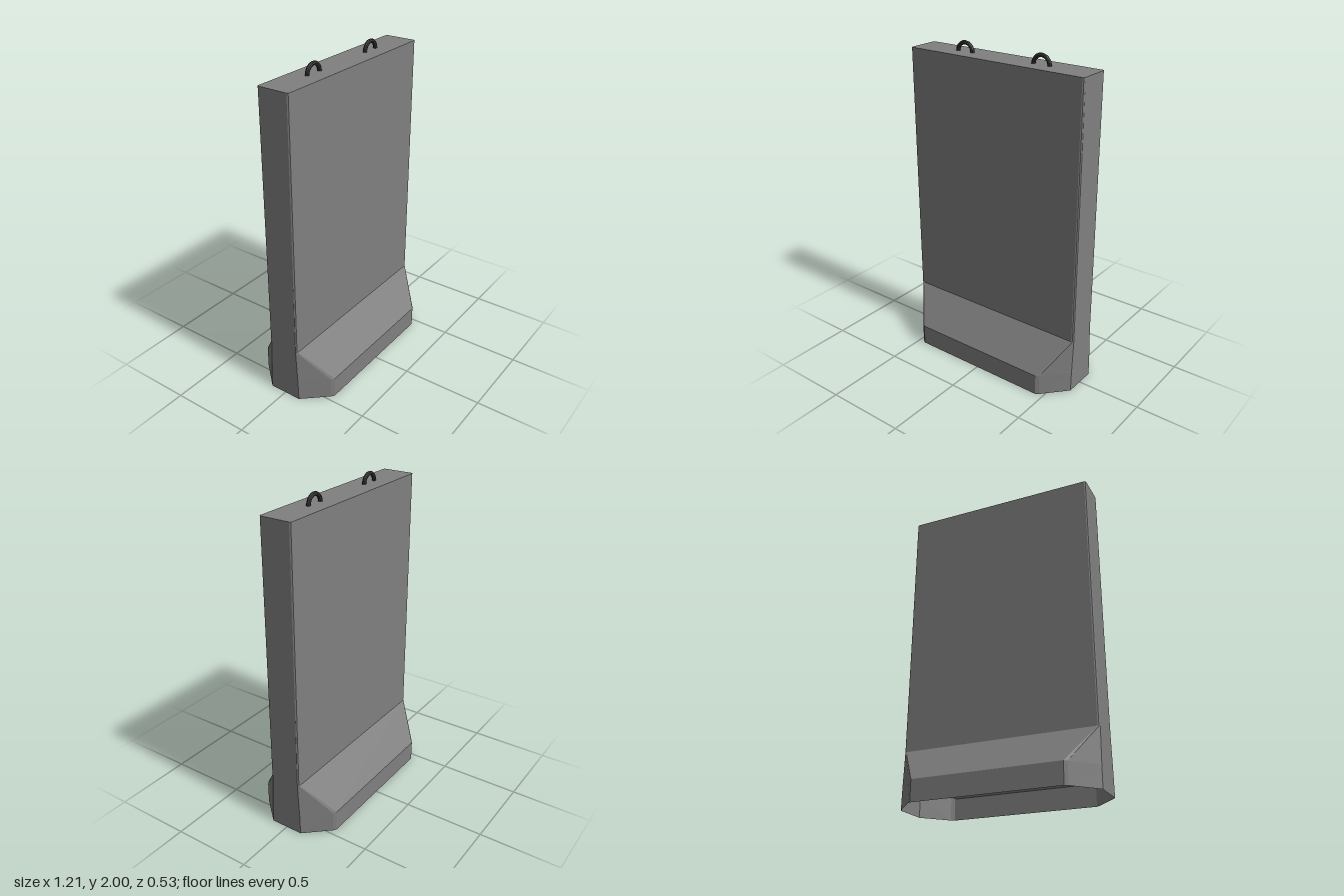
import * as THREE from 'three';

// Cross-sections from bottom to top: height, then three corner points [x, z] of one quadrant
const SECTIONS = [
  { y: 0, corner: [[0.45, 0.263], [0.47, 0.25], [0.603, 0.105]] },
  { y: 0.13, corner: [[0.45, 0.263], [0.47, 0.25], [0.603, 0.102]] },
  { y: 0.345, corner: [[0.591, 0.102], [0.598, 0.099], [0.603, 0.091]] },
  { y: 1.935, corner: [[0.589, 0.102], [0.596, 0.099], [0.6, 0.091]] },
];

// Mirror one quadrant into a closed ring, anticlockwise seen from above
function ring({ y, corner }) {
  const back = [...corner].reverse();
  const place = (pts, sx, sz) => pts.map(([x, z]) => [x * sx, y, z * sz]);
  return [
    ...place(corner, 1, 1), ...place(back, 1, -1),
    ...place(corner, -1, -1), ...place(back, -1, 1),
  ];
}

// Hollow shell with a closed top and an open underside
function shellGeometry() {
  const rings = SECTIONS.map(ring);
  const n = rings[0].length;
  const index = [];
  for (let r = 0; r < rings.length - 1; r++) {
    for (let i = 0; i < n; i++) {
      const a = r * n + i, b = r * n + (i + 1) % n;
      index.push(a, b, b + n, a, b + n, a + n);
    }
  }
  const top = (rings.length - 1) * n;
  for (let i = 1; i < n - 1; i++) index.push(top, top + i, top + i + 1);

  const geometry = new THREE.BufferGeometry();
  geometry.setAttribute('position', new THREE.Float32BufferAttribute(rings.flat(2), 3));
  geometry.setIndex(index);
  const flat = geometry.toNonIndexed();
  flat.computeVertexNormals();
  return flat;
}

export function createModel() {
  const group = new THREE.Group();
  group.name = 'barrierWall';

  // Wall slab with its flared foot
  const concrete = new THREE.MeshStandardMaterial({
    color: 0x808080, flatShading: true, side: THREE.DoubleSide,
  });
  const wall = new THREE.Mesh(shellGeometry(), concrete);
  wall.name = 'wallWithFlaredBase';
  group.add(wall);

  // Pair of lifting loops on the top edge
  const steel = new THREE.MeshStandardMaterial({
    color: 0x333333, flatShading: true, side: THREE.DoubleSide,
  });
  const loopGeometry = new THREE.TorusGeometry(0.053, 0.0125, 8, 10, Math.PI);
  for (const [name, x] of [['leftLiftingLoop', 0.267], ['rightLiftingLoop', -0.267]]) {
    const loop = new THREE.Mesh(loopGeometry, steel);
    loop.name = name;
    loop.position.set(x, 1.935, 0);
    group.add(loop);
  }
  return group;
}
